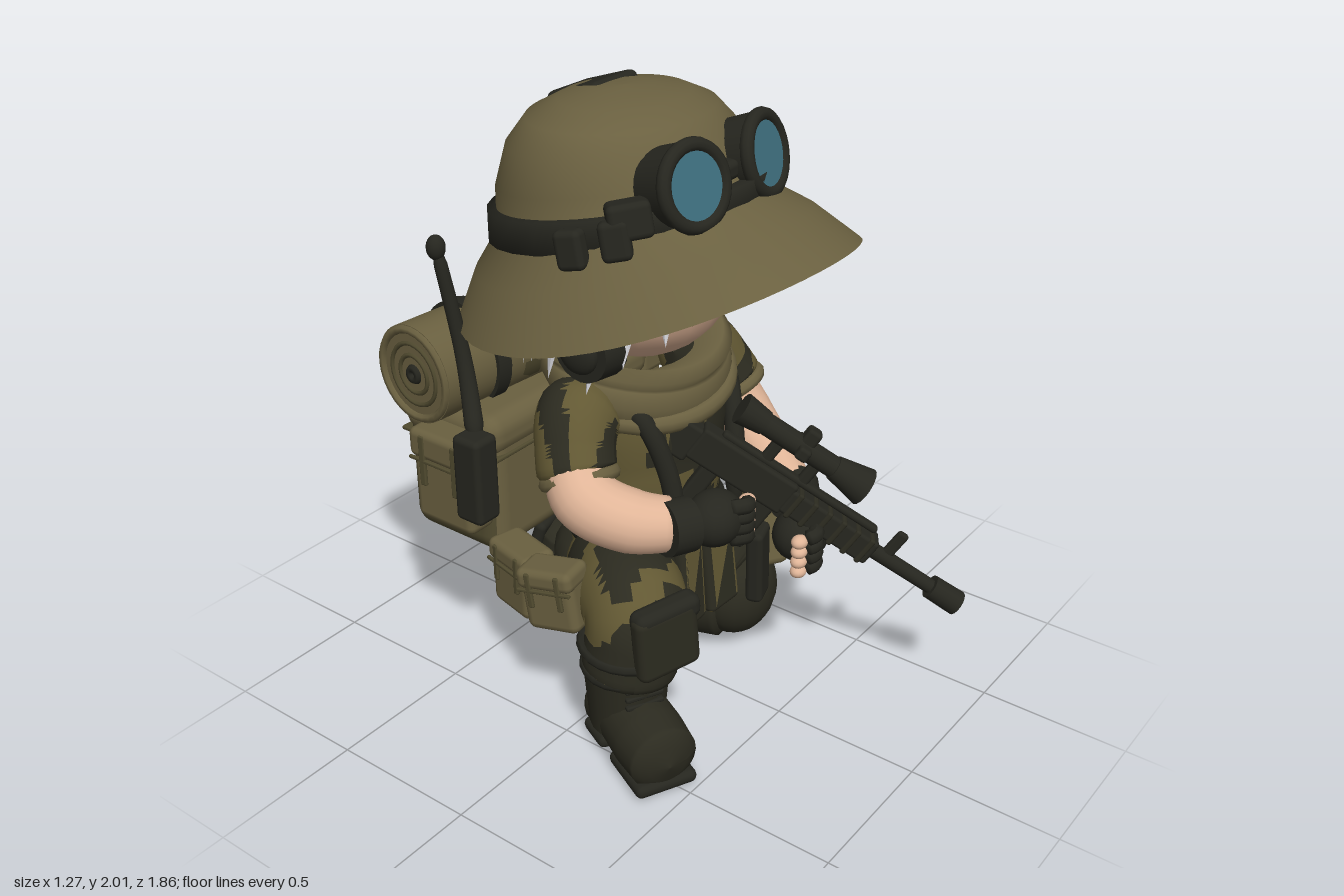
import * as THREE from 'three';
import { RoundedBoxGeometry } from 'three/addons/geometries/RoundedBoxGeometry.js';

const V = (a) => new THREE.Vector3(...a);

export function createModel() {
  const root = new THREE.Group();
  root.name = 'kneelingScout';
  const paint = (name, color) => Object.assign(new THREE.MeshStandardMaterial({ color }), { name });
  const olive = paint('olive canvas', 0x6a6040), camoDark = paint('dark camouflage', 0x2c2b20);
  const camoLight = paint('light camouflage', 0x625833), black = paint('black gear', 0x26261f);
  const skin = paint('skin', 0xe0b598), white = paint('silver hair', 0xdcdce2);
  const glass = paint('blue glass', 0x3f7080), iris = paint('olive iris', 0x6a6434);
  const seam = paint('dark olive trim', 0x504a2f);
  olive.side = white.side = iris.side = THREE.DoubleSide;

  const add = (parent, name, geo, mat, pos = [0, 0, 0], rot = [0, 0, 0]) => {
    const m = new THREE.Mesh(geo, mat);
    m.name = name;
    m.position.set(...pos);
    m.rotation.set(...rot);
    parent.add(m);
    return m;
  };
  const group = (name, parent = root) => {
    const g = new THREE.Group();
    g.name = name;
    parent.add(g);
    return g;
  };
  const box = (w, h, d, r = 0.02) => new RoundedBoxGeometry(w, h, d, 2, Math.min(r, w / 2.1, h / 2.1, d / 2.1));
  const cylZ = (r1, r2, len, n = 16) => new THREE.CylinderGeometry(r2, r1, len, n).rotateX(Math.PI / 2);
  const ball = (rx, ry, rz) => new THREE.SphereGeometry(1, 20, 14).scale(rx, ry, rz);

  // Skin over stacked ellipses: [cx, cy, cz, rx, rz, slope, droop], bottom to top
  const loft = (rings, n = 40) => {
    const p = [], idx = [];
    rings.forEach(([cx, cy, cz, rx, rz, slope = 0, droop = 0], i) => {
      for (let j = 0; j < n; j++) {
        const a = (j / n) * Math.PI * 2, s = Math.sin(a), c = Math.cos(a);
        p.push(cx + rx * s, cy + slope * rz * c + droop * s * s, cz + rz * c);
        if (!i) continue;
        const k = (j + 1) % n, b = (i - 1) * n, t = i * n;
        idx.push(b + j, b + k, t + k, b + j, t + k, t + j);
      }
    });
    const g = new THREE.BufferGeometry();
    g.setAttribute('position', new THREE.Float32BufferAttribute(p, 3));
    g.setIndex(idx);
    g.computeVertexNormals();
    return g;
  };

  // Tapered limb with rounded ends along a curve
  const limb = (pts, radii, n = 30, m = 20) => {
    const curve = new THREE.CatmullRomCurve3(pts.map(V));
    const g = new THREE.TubeGeometry(curve, n, 1, m), pos = g.attributes.position, v = new THREE.Vector3();
    for (let i = 0; i <= n; i++) {
      const t = i / n, c = curve.getPointAt(t), f = t * (radii.length - 1), k = Math.min(Math.floor(f), radii.length - 2);
      const r = THREE.MathUtils.lerp(radii[k], radii[k + 1], f - k) * Math.min(1, Math.sqrt(Math.min(t, 1 - t) / 0.1) + 0.01);
      for (let j = 0; j <= m; j++) {
        const q = i * (m + 1) + j;
        v.fromBufferAttribute(pos, q).sub(c).multiplyScalar(r).add(c);
        pos.setXYZ(q, v.x, v.y, v.z);
      }
    }
    g.computeVertexNormals();
    return g;
  };

  // Sorts faces into two colour groups by a smooth blotch pattern
  const camo = (parent, name, geo, level, mats = [camoDark, camoLight], pos, rot) => {
    const g = geo.toNonIndexed(), p = g.attributes.position, tris = [[], []];
    for (let i = 0; i < p.count; i += 3) {
      const [x, y, z] = [0, 1, 2].map((k) => (p.getComponent(i, k) + p.getComponent(i + 1, k) + p.getComponent(i + 2, k)) / 3);
      const f = Math.sin(25 * x + 2 * Math.sin(15 * y)) + Math.sin(23 * y + 3 * Math.sin(11 * z)) + Math.sin(24 * z + 2 * Math.sin(14 * x));
      tris[f > level ? 1 : 0].push(i, i + 1, i + 2);
    }
    g.setIndex([...tris[0], ...tris[1]]);
    g.addGroup(0, tris[0].length, 0);
    g.addGroup(tris[0].length, tris[1].length, 1);
    return add(parent, name, g, mats, pos, rot);
  };

  // Hat with sloping brim, band and top patch
  const hat = group('hat');
  add(hat, 'hatShell', loft([
    [0.03, 1.44, -0.03, 0.61, 0.63, 0.27, -0.075], [0.03, 1.55, -0.085, 0.51, 0.53, 0.26, -0.035],
    [0.03, 1.63, -0.135, 0.41, 0.41, 0.24], [0.03, 1.75, -0.165, 0.4, 0.375, 0.17], [0.03, 1.86, -0.165, 0.37, 0.335, 0.1],
    [0.03, 1.93, -0.16, 0.315, 0.275, 0.05], [0.03, 1.975, -0.15, 0.22, 0.19, 0.03], [0.03, 1.995, -0.15, 0.1, 0.09], [0.03, 2, -0.15, 0, 0]], 56), olive);
  const band = (y, r) => [0.04, y, -0.14, 0.45 + r, 0.435 + r, 0.2];
  add(hat, 'hatBand', loft([band(1.595, -0.05), band(1.595, 0), band(1.695, 0), band(1.695, -0.06)], 28), black);
  add(hat, 'topPatch', box(0.21, 0.05, 0.22, 0.024), black, [0.075, 1.95, -0.31], [-0.33, 0, 0]);
  for (const s of [-1, 1]) for (const [x, y, z] of [[0.4, 1.69, 0.12], [0.45, 1.65, 0]])
    add(hat, 'bandClip', box(0.06, 0.12, 0.09), black, [0.04 + s * x, y, z], [-0.2, s * (z ? -0.6 : -0.2), 0]);

  // Goggles resting on the crown
  const goggles = group('goggles');
  for (const s of [-1, 1]) {
    const cup = group('goggleCup', goggles);
    cup.position.set(0.018 + s * 0.168, 1.805, 0.185);
    cup.rotation.set(-0.25, s * 0.16, 0);
    add(cup, 'goggleHousing', cylZ(0.115, 0.13, 0.13, 28), black);
    add(cup, 'goggleRim', new THREE.TorusGeometry(0.117, 0.022, 10, 28), black, [0, 0, 0.065]);
    add(cup, 'goggleLens', cylZ(0.103, 0.103, 0.008, 28), glass, [0, 0, 0.072]);
    add(goggles, 'goggleHinge', box(0.13, 0.11, 0.1), black, [0.02 + s * 0.33, 1.74, 0.13], [-0.2, s * 0.8, 0]);
  }
  add(goggles, 'goggleBridge', box(0.1, 0.06, 0.06), black, [0.018, 1.81, 0.22]);

  // Head, eyes and headset
  const head = group('head');
  const hc = [0.02, 1.43, -0.08], hs = [0.3, 0.27, 0.29];
  add(head, 'face', ball(...hs), skin, hc);
  const facePatch = (name, mat, x, y, w, h, k) => add(head, name, new THREE.SphereGeometry(k, 12, 8,
    Math.PI / 2 + x - w / 2, w, Math.PI / 2 - y - h / 2, h).scale(...hs), mat, hc);
  for (const s of [-1, 1]) {
    facePatch('eyeWhite', white, s * 0.46, -0.16, 0.34, 0.28, 1.008);
    facePatch('iris', iris, s * 0.45, -0.16, 0.27, 0.36, 1.016);
    facePatch('pupil', camoDark, s * 0.45, -0.11, 0.15, 0.2, 1.024);
    facePatch('upperLash', camoDark, s * 0.46, 0.04, 0.42, 0.08, 1.028);
    add(head, 'earCup', new THREE.CylinderGeometry(0.1, 0.11, 0.09, 20).rotateZ(-s * Math.PI / 2), black, [0.02 + s * 0.36, 1.32, 0.0]);
    add(head, 'earCap', ball(0.035, 0.07, 0.07), black, [0.02 + s * 0.41, 1.32, 0.0]);
  }

  // Hair: rear shell, fringe root and hanging locks
  const hair = group('hair');
  add(hair, 'hairShell', ball(0.35, 0.3, 0.3), white, [0.02, 1.48, -0.13]);
  add(hair, 'fringeRoot', ball(0.36, 0.14, 0.345), white, [0.02, 1.585, -0.1]);
  const lock = (a, top, len, r, w, twist) => {
    const g = group('hairLock', hair);
    g.position.set(0.02 + r * 1.08 * Math.sin(a), top - len / 2, -0.1 + r * Math.cos(a));
    g.rotation.y = a;
    add(g, 'lock', new THREE.ConeGeometry(w, len, 7).scale(1, 1, 0.45), white, [0, 0, 0], [Math.PI - 0.12, 0, twist]);
  };
  for (let i = 0; i < 11; i++) {
    const t = i / 5 - 1, side = Math.abs(t);
    lock(t * 1.05, 1.6, 0.16 + 0.16 * side * side + 0.035 * (i % 3), 0.325, 0.075, -0.35 * t + 0.2 * Math.sin(i * 2.3));
  }
  for (const s of [-1, 1]) for (let i = 0; i < 4; i++)
    lock(s * (0.95 + i * 0.16), 1.56, 0.3 - 0.03 * i, 0.35 + 0.012 * i, 0.065, -s * (0.1 + 0.12 * i));
  for (let i = 0; i < 24; i++) {
    const a = 1.2 + (i / 23) * (Math.PI * 2 - 2.4);
    lock(a, 1.54, 0.3 + 0.04 * (i % 3), 0.32 + 0.02 * (i % 2), 0.075, 0.2 * Math.sin(i * 1.7));
  }

  // Torso, belt, suspenders and scarf
  const body = group('body');
  camo(body, 'shirt', loft([[0.03, 0.36, -0.06, 0.29, 0.25], [0.03, 0.4, -0.06, 0.3, 0.255], [0.03, 0.45, -0.06, 0.3, 0.25], [0.02, 0.5, -0.06, 0.29, 0.24],
    [0.02, 0.55, -0.06, 0.28, 0.23], [0.02, 0.61, -0.06, 0.27, 0.22], [0.02, 0.66, -0.06, 0.275, 0.22], [0.02, 0.71, -0.06, 0.28, 0.225], [0.02, 0.77, -0.06, 0.29, 0.23],
    [0.02, 0.82, -0.07, 0.295, 0.235], [0.02, 0.87, -0.07, 0.3, 0.235], [0.02, 0.93, -0.07, 0.31, 0.24], [0.02, 1.01, -0.08, 0.32, 0.24],
    [0.02, 1.08, -0.08, 0.31, 0.22], [0.02, 1.14, -0.08, 0.2, 0.16]], 72), 0.05);
  add(body, 'belt', loft([[0.02, 0.55, -0.06, 0.27, 0.22], [0.02, 0.55, -0.06, 0.295, 0.245], [0.02, 0.6, -0.06, 0.29, 0.24], [0.02, 0.6, -0.06, 0.26, 0.21]]), black);
  for (const s of [-1, 1]) add(body, 'suspender', limb([[0.02 + s * 0.16, 0.58, 0.18], [0.02 + s * 0.18, 0.85, 0.16],
    [0.02 + s * 0.23, 1.07, 0.07], [0.02 + s * 0.24, 1.11, -0.08], [0.02 + s * 0.22, 1.0, -0.29]], [0.032, 0.032]), black);
  add(body, 'scarf', loft([[0.02, 1.0, -0.08, 0.24, 0.2, -0.25], [0.02, 1.04, -0.09, 0.32, 0.26, -0.2], [0.02, 1.1, -0.1, 0.35, 0.28, -0.14, 0.03],
    [0.02, 1.14, -0.1, 0.33, 0.275, -0.1, 0.04], [0.02, 1.14, -0.1, 0.315, 0.26, -0.1, 0.04], [0.02, 1.16, -0.1, 0.335, 0.285, -0.05, 0.05],
    [0.02, 1.19, -0.1, 0.3, 0.26, -0.03, 0.05], [0.02, 1.16, -0.1, 0.2, 0.17]]), olive);
  add(body, 'scarfFold', new THREE.TorusGeometry(0.28, 0.035, 10, 36).rotateX(Math.PI / 2).scale(1.06, 1, 0.9), olive, [0.02, 1.09, -0.07], [0.28, 0, 0.08]);
  add(body, 'hips', ball(0.31, 0.17, 0.25), camoDark, [0.02, 0.42, -0.12]);

  // Arms: camouflage sleeve, bare forearm, wristband, fingerless glove
  const arm = (name, s, path, hand) => {
    const g = group(name);
    camo(g, 'sleeve', limb([[s * 0.2, 1.07, -0.09], [s * 0.32, 1.04, -0.07], [s * 0.39, 0.93, -0.02], [s * 0.4, 0.89, 0]], [0.1, 0.135, 0.125, 0.125], 36, 28), 0.2);
    const hem = add(g, 'sleeveHem', new THREE.TorusGeometry(0.105, 0.024, 8, 24), olive, [s * 0.4, 0.9, 0]);
    hem.lookAt(s * 0.47, 0.6, 0.14);
    add(g, 'bareArm', limb(path, [0.095, 0.105, 0.1, 0.08]), skin);
    const end = V(path[3]), dir = V(hand).sub(end).normalize();
    const cuff = add(g, 'wristband', cylZ(0.088, 0.086, 0.09, 20), black);
    cuff.position.copy(end).addScaledVector(dir, -0.03);
    cuff.lookAt(end.clone().add(dir));
    add(g, 'glove', ball(0.1, 0.09, 0.09), black, hand);
    for (let i = 0; i < 4; i++) {
      const y = hand[1] + 0.05 - i * 0.036, x = hand[0] - s * 0.05, z = hand[2] + 0.05;
      add(g, 'gloveFinger', limb([[x + s * 0.05, y, z], [x, y, z + 0.035], [x - s * 0.03, y - 0.01, z + 0.015]], [0.026, 0.026], 10, 8), black);
      add(g, 'fingertip', ball(0.03, 0.022, 0.026), skin, [x - s * 0.045, y - 0.015, z + 0.005]);
    }
  };
  arm('leftArm', 1, [[0.37, 0.98, -0.04], [0.405, 0.79, 0.06], [0.36, 0.69, 0.2], [0.27, 0.63, 0.36]], [0.15, 0.6, 0.46]);
  arm('rightArm', -1, [[-0.37, 0.98, -0.04], [-0.44, 0.87, 0.05], [-0.39, 0.81, 0.18], [-0.28, 0.79, 0.31]], [-0.18, 0.78, 0.35]);

  // Legs and boots
  const boot = (name, pos, rot) => {
    const g = group(name);
    g.position.set(...pos);
    g.rotation.set(...rot, 'YXZ');
    add(g, 'bootFoot', limb([[0, 0.11, -0.13], [0, 0.125, 0.04], [0, 0.115, 0.16], [0, 0.105, 0.3]], [0.11, 0.115, 0.12, 0.108]), camoDark);
    add(g, 'bootShaft', new THREE.CylinderGeometry(0.14, 0.12, 0.24, 20), camoDark, [0, 0.21, 0]);
    add(g, 'bootCuff', new THREE.TorusGeometry(0.13, 0.02, 8, 20).rotateX(Math.PI / 2), black, [0, 0.31, 0]);
    for (const [len, z] of [[0.22, 0.18], [0.14, -0.05]]) add(g, 'bootSole', box(0.21, 0.045, len, 0.022), black, [0, 0.023, z]);
    for (let i = 0; i < 4; i++) add(g, 'bootLace', box(0.13, 0.016, 0.02, 0.006), black, [0, 0.2 + i * 0.03, 0.128 - i * 0.002]);
  };
  boot('rightBoot', [-0.42, 0, 0.19], [0, -0.45, 0]);
  boot('leftBoot', [-0.03, 0.32, -0.51], [Math.PI / 2 + 0.3, 0.25, 0]);
  camo(root, 'rightLeg', limb([[-0.1, 0.42, -0.12], [-0.3, 0.49, 0.1], [-0.38, 0.47, 0.2], [-0.41, 0.34, 0.2], [-0.42, 0.23, 0.19]],
    [0.16, 0.175, 0.175, 0.155, 0.15], 44, 30), 0.5);
  camo(root, 'leftThigh', limb([[0.13, 0.44, -0.2], [0.2, 0.36, -0.05], [0.26, 0.24, 0.08], [0.27, 0.2, 0.14]], [0.19, 0.21, 0.2, 0.165], 40, 28), 1.9);
  camo(root, 'leftShin', limb([[0.28, 0.18, 0.15], [0.2, 0.18, -0.05], [0.09, 0.21, -0.22], [0, 0.26, -0.38]], [0.17, 0.165, 0.165, 0.16], 40, 28), 1.9);
  add(root, 'leftKneePad', ball(0.16, 0.17, 0.13), camoDark, [0.27, 0.2, 0.14]);
  add(root, 'rightKneePad', box(0.22, 0.24, 0.07, 0.03), camoDark, [-0.43, 0.47, 0.35], [0, -0.35, 0.08]);
  add(root, 'kneePadFlap', box(0.23, 0.08, 0.08, 0.03), black, [-0.425, 0.56, 0.345], [0, -0.35, 0.08]);
  add(root, 'kneeStrap', new THREE.TorusGeometry(0.16, 0.018, 6, 24).rotateX(Math.PI / 2), black, [-0.395, 0.38, 0.195]);

  // Pouches: body, flap and strap
  const pouch = (parent, name, pos, [w, h, d], ry = 0, tilt = 0) => {
    const g = group(name, parent);
    g.position.set(...pos);
    g.rotation.set(0, ry, tilt, 'YXZ');
    add(g, 'pouchBody', box(w, h, d, 0.03), olive);
    add(g, 'pouchFlap', box(w * 1.06, h * 0.32, d * 1.1, 0.025), olive, [0, h * 0.36, d * 0.04]);
    add(g, 'flapEdge', box(w * 1.02, 0.012, 0.012, 0.004), seam, [0, h * 0.2, d * 0.57]);
    for (const s of [-1, 1]) add(g, 'pouchStrap', box(w * 0.1, h * 0.55, 0.014, 0.005), seam, [s * w * 0.28, h * 0.2, d * 0.56]);
  };
  pouch(root, 'leftHipPouch', [0.39, 0.41, 0.15], [0.2, 0.27, 0.13], 1.0, -0.2);
  pouch(root, 'leftRearPouch', [0.38, 0.41, -0.26], [0.21, 0.27, 0.13], 1.7);
  pouch(root, 'rightHipPouch', [-0.48, 0.5, -0.04], [0.19, 0.22, 0.12], -1.4, 0.15);
  pouch(root, 'rightRearPouch', [-0.37, 0.42, -0.28], [0.2, 0.24, 0.12], -1.8);
  for (const [x, y, w] of [[0.06, 0.42, 0.15], [-0.1, 0.44, 0.13]])
    camo(root, 'shirtTail', new RoundedBoxGeometry(w, 0.3, 0.05, 5, 0.022), 0.2, undefined, [x, y, 0.2], [-0.1, -x, x * 0.4]);
  add(root, 'spareMagazine', box(0.11, 0.28, 0.06), black, [0.21, 0.38, 0.26], [0, 0.3, 0.05]);

  // Backpack with side and rear pouches
  const pack = group('backpack');
  camo(pack, 'packBody', new RoundedBoxGeometry(0.82, 0.5, 0.4, 6, 0.07), 2.5, [olive, seam], [0.02, 0.7, -0.57]);
  add(pack, 'packLid', box(0.84, 0.15, 0.42, 0.065), olive, [0.02, 0.89, -0.57]);
  add(pack, 'lidEdge', box(0.83, 0.015, 0.415, 0.006), seam, [0.02, 0.82, -0.57]);
  pouch(pack, 'rearPouch', [0.05, 0.74, -0.83], [0.6, 0.24, 0.15], Math.PI);
  for (const s of [-1, 1]) pouch(pack, 'sidePouch', [0.02 + s * 0.45, 0.74, -0.51], [0.25, 0.33, 0.12], s * Math.PI / 2);

  // Bedroll with coiled ends and straps
  const roll = group('bedroll', pack);
  roll.position.set(0.05, 1.08, -0.6);
  roll.rotation.y = -0.08;
  camo(roll, 'rollBody', new THREE.CylinderGeometry(0.168, 0.168, 1.0, 40, 24).rotateZ(Math.PI / 2), 2.5, [olive, seam]);
  for (const s of [-1, 1]) {
    [[0.152, 0.014, olive], [0.105, 0.008, seam], [0.065, 0.008, seam], [0.02, 0.014, black]].forEach(([r, t, mat]) =>
      add(roll, 'rollCoil', new THREE.TorusGeometry(r, t, 6, 28).rotateY(Math.PI / 2), mat, [s * 0.5, 0, 0]));
    add(roll, 'rollStrap', new THREE.CylinderGeometry(0.182, 0.182, 0.055, 32).rotateZ(Math.PI / 2), black, [s * 0.27, 0, 0]);
    add(roll, 'strapTail', box(0.045, 0.2, 0.02, 0.008), black, [s * 0.27, -0.1, -0.18]);
  }

  // Radio with antenna on the right of the pack
  const radio = group('radio');
  add(radio, 'radioBody', box(0.1, 0.3, 0.11), black, [-0.51, 0.84, -0.33]);
  add(radio, 'antenna', limb([[-0.49, 0.94, -0.34], [-0.44, 1.18, -0.42], [-0.47, 1.57, -0.48]], [0.032, 0.024, 0.02]), black);
  add(radio, 'antennaTip', ball(0.03, 0.04, 0.03), black, [-0.47, 1.56, -0.48]);

  // Rifle, built along its own z axis and aimed forward and down
  const gun = group('rifle');
  gun.position.set(-0.12, 1.03, 0.09);
  gun.lookAt(0.42, 0.36, 0.91);
  const gunBoxes = [
    ['stock', [0.06, 0.13, 0.2], [0, -0.02, 0.05]], ['receiver', [0.075, 0.12, 0.36], [0, 0, 0.32]],
    ['handguard', [0.085, 0.09, 0.34], [0, 0, 0.66]], ['topRail', [0.035, 0.025, 0.6], [0, 0.066, 0.5]],
    ['frontSight', [0.025, 0.1, 0.04], [0, 0.06, 0.88]], ['magazine', [0.05, 0.2, 0.09], [0, -0.14, 0.44]],
    ['pistolGrip', [0.045, 0.16, 0.06], [0, -0.12, 0.24]], ['scopeMount', [0.03, 0.1, 0.04], [0, 0.11, 0.36]],
    ['scopeMount', [0.03, 0.1, 0.04], [0, 0.11, 0.5]], ['scopeTurret', [0.05, 0.06, 0.05], [0, 0.215, 0.43]],
    ['scopeKnob', [0.12, 0.045, 0.045], [0, 0.17, 0.43]]];
  for (const [name, size, pos] of gunBoxes) add(gun, name, box(...size, 0.012), black, pos);
  for (let i = 0; i < 6; i++) add(gun, 'handguardRib', box(0.095, 0.1, 0.02, 0.008), camoDark, [0, 0, 0.52 + i * 0.056]);
  add(gun, 'barrel', cylZ(0.026, 0.024, 0.4), black, [0, 0, 0.95]);
  add(gun, 'muzzle', cylZ(0.04, 0.042, 0.11), black, [0, 0, 1.125]);
  add(gun, 'scopeTube', cylZ(0.036, 0.036, 0.36), black, [0, 0.17, 0.43]);
  add(gun, 'scopeBell', cylZ(0.04, 0.064, 0.12), black, [0, 0.17, 0.61]);
  add(gun, 'scopeEyepiece', cylZ(0.052, 0.04, 0.09), black, [0, 0.17, 0.24]);
  add(gun, 'scopeLens', cylZ(0.048, 0.048, 0.008), glass, [0, 0.17, 0.672]);
  return root;
}
